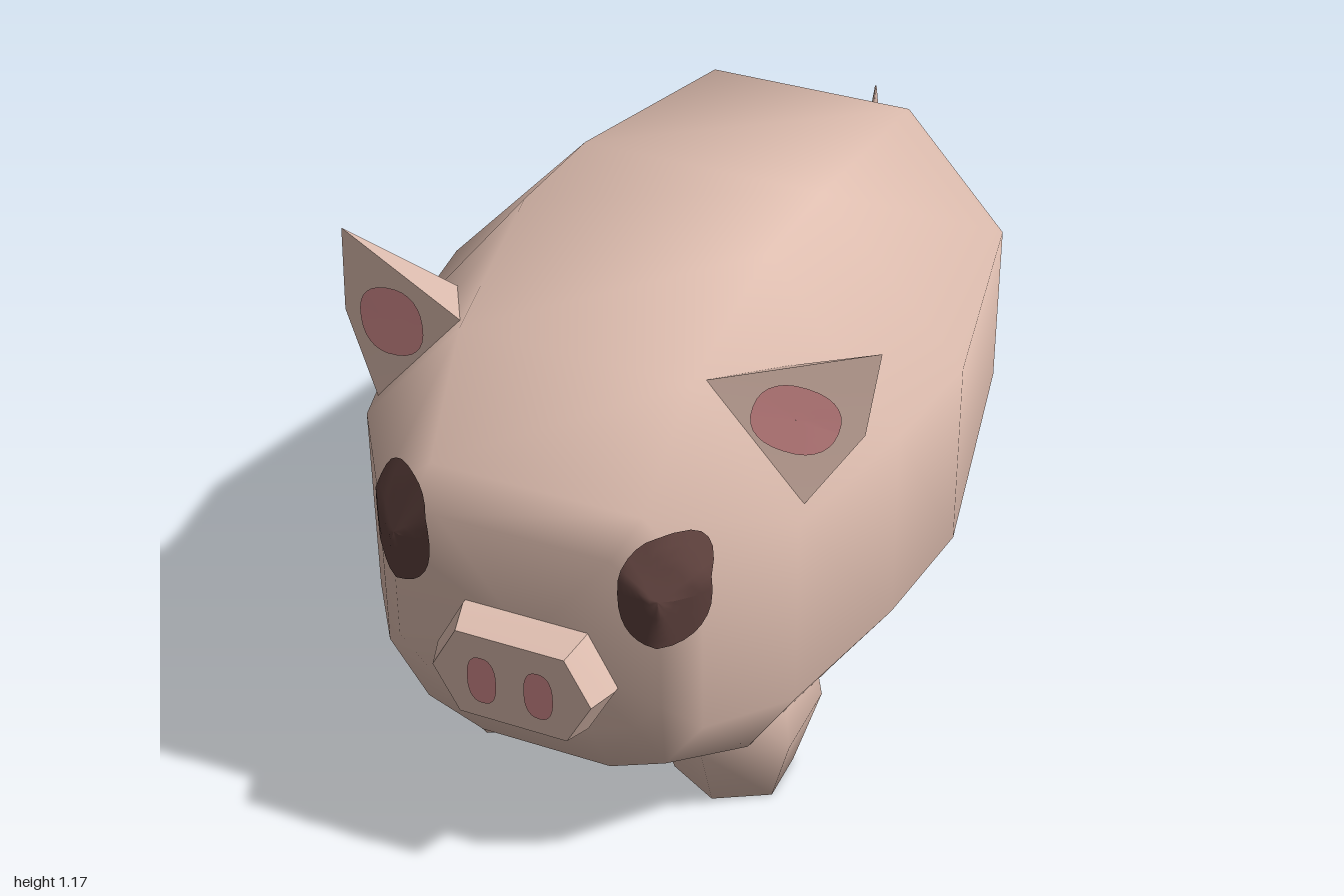
import * as THREE from 'three';
import { toCreasedNormals } from 'three/addons/utils/BufferGeometryUtils.js';

const mat = (name, color) => {
  const m = new THREE.MeshStandardMaterial({ color });
  m.name = name;
  return m;
};

// Closed skin over equal-sized rings of [x, y, z] points, facing outward.
function loft(rings, crease = 0) {
  const n = rings[0].length;
  const pts = rings.flat();
  const index = [];
  for (let r = 0; r < rings.length - 1; r++) {
    for (let i = 0; i < n; i++) {
      const a = r * n + i, b = r * n + (i + 1) % n;
      index.push(a, b, b + n, a, b + n, a + n);
    }
  }
  [0, rings.length - 1].forEach((r, end) => {
    const c = [0, 1, 2].map(k => rings[r].reduce((s, p) => s + p[k], 0) / n);
    pts.push(c);
    for (let i = 0; i < n; i++) {
      const a = r * n + i, b = r * n + (i + 1) % n;
      index.push(pts.length - 1, end ? a : b, end ? b : a);
    }
  });
  // Turn the skin around if its volume comes out negative
  const v = pts.map(p => new THREE.Vector3(...p));
  let volume = 0;
  for (let i = 0; i < index.length; i += 3) {
    volume += v[index[i]].dot(v[index[i + 1]].clone().cross(v[index[i + 2]]));
  }
  if (volume < 0) index.reverse();
  const g = new THREE.BufferGeometry();
  g.setAttribute('position', new THREE.Float32BufferAttribute(pts.flat(), 3));
  g.setIndex(index);
  g.computeVertexNormals();
  return crease ? toCreasedNormals(g, crease) : g;
}

// Thin rounded patch laid over the front of a mesh.
function patch(target, x, y, rx, ry, power, turn = 0) {
  const g = new THREE.RingGeometry(0.001, 1, 28, 6);
  const p = g.attributes.position;
  const ray = new THREE.Raycaster();
  const round = t => Math.sign(t) * Math.abs(t) ** power;
  for (let i = 0; i < p.count; i++) {
    const r = Math.hypot(p.getX(i), p.getY(i));
    const u = rx * r * round(p.getX(i) / r), v = ry * r * round(p.getY(i) / r);
    const px = x + u * Math.cos(turn) - v * Math.sin(turn);
    const py = y + u * Math.sin(turn) + v * Math.cos(turn);
    ray.set(new THREE.Vector3(px, py, 3), new THREE.Vector3(0, 0, -1));
    const hit = ray.intersectObject(target)[0];
    p.setXYZ(i, px, py, (hit ? hit.point.z : 0.88) + 0.006);
  }
  g.computeVertexNormals();
  return g;
}

export function createModel() {
  const model = new THREE.Group();
  const skin = mat('skin', 0xe0bfb1);
  const pink = mat('pink', 0xdb9192);
  const brown = mat('eye brown', 0x5e413d);
  const add = (name, geometry, material) => {
    const mesh = new THREE.Mesh(geometry, material);
    mesh.name = name;
    model.add(mesh);
    mesh.updateMatrixWorld();
    return mesh;
  };

  // Body: z, top y, top half width, upper side y, half width, lower side y,
  // lower edge half width and y, belly half width and y
  const sections = [
    [-0.72, 0.60, 0.05, 0.57, 0.08, 0.52, 0.06, 0.50, 0.03, 0.49],
    [-0.64, 0.77, 0.16, 0.66, 0.29, 0.42, 0.24, 0.31, 0.12, 0.28],
    [-0.54, 1.02, 0.23, 0.76, 0.46, 0.38, 0.38, 0.23, 0.14, 0.18],
    [0.07, 1.15, 0.26, 0.81, 0.575, 0.38, 0.42, 0.20, 0.13, 0.13],
    [0.35, 1.17, 0.26, 0.82, 0.54, 0.38, 0.42, 0.20, 0.14, 0.14],
    [0.68, 1.07, 0.24, 0.81, 0.46, 0.38, 0.36, 0.22, 0.15, 0.17],
    [0.86, 0.88, 0.22, 0.77, 0.34, 0.41, 0.26, 0.29, 0.14, 0.24],
    [0.92, 0.81, 0.18, 0.73, 0.28, 0.49, 0.22, 0.42, 0.13, 0.38],
  ];
  const body = add('body', loft(sections.map(([z, top, tw, yu, w, yl, ew, ey, bw, by]) => {
    const half = [[bw, by], [ew, ey], [w, yl], [w, yu], [tw, top]];
    return [...half.map(([x, y]) => [x, y, z]), ...half.reverse().map(([x, y]) => [-x, y, z])];
  })), skin);

  // Snout
  const hexagon = (w, h, z) =>
    [[1, 0], [0.68, 1], [-0.68, 1], [-1, 0], [-0.68, -1], [0.68, -1]]
      .map(([x, y]) => [x * w, 0.507 + y * h, z]);
  const snout = add('snout',
    loft([hexagon(0.19, 0.115, 0.88), hexagon(0.19, 0.115, 0.93), hexagon(0.168, 0.1, 0.994)], 0.9), skin);

  // Curled tail: top y, z, bottom y, z, half width
  add('tail', loft([
    [0.65, -0.66, 0.53, -0.66, 0.09],
    [0.61, -0.80, 0.49, -0.80, 0.07],
    [0.61, -0.89, 0.515, -0.94, 0.045],
    [0.64, -0.935, 0.63, -0.995, 0.025],
    [0.81, -0.968, 0.81, -0.972, 0.002],
  ].map(([ty, tz, by, bz, w]) => [
    [0, ty, tz], [w, (ty + by) / 2, (tz + bz) / 2],
    [0, by, bz], [-w, (ty + by) / 2, (tz + bz) / 2],
  ])), skin);

  for (const [side, s] of [['left', 1], ['right', -1]]) {
    // Tapered six-sided legs
    for (const [end, footZ, topZ] of [['Front', 0.51, 0.54], ['Back', -0.345, -0.35]]) {
      const ring = (x, y, z, rx, rz) =>
        [[1, 0.5], [0, 1], [-1, 0.5], [-1, -0.5], [0, -1], [1, -0.5]]
          .map(([u, v]) => [s * (x + u * rx), y, z + v * rz]);
      add(side + end + 'Leg', loft([
        ring(0.26, 0, footZ, 0.11, 0.12),
        ring(0.275, 0.2, topZ, 0.155, 0.18),
        ring(0.28, 0.36, topZ, 0.13, 0.15),
      ]), skin);
    }

    // Ear: a bent front face running back to one point
    const front = [[0.565, 1.14, 0.545], [0.225, 1.055, 0.655], [0.455, 0.83, 0.64], [0.55, 0.975, 0.58]]
      .map(([x, y, z]) => [s * x, y, z]);
    const ear = add(side + 'Ear', loft([front, front.map(() => [s * 0.34, 1.0, 0.46])], 0.4), skin);
    add(side + 'InnerEar', patch(ear, s * 0.425, 1.0, 0.082, 0.066, 0.85, s * -0.25), pink);

    add(side + 'Eye', patch(body, s * 0.275, 0.743, 0.079, 0.107, 0.8), brown);
    add(side + 'Nostril', patch(snout, s * 0.06, 0.505, 0.031, 0.056, 0.8), pink);
  }
  return model;
}
